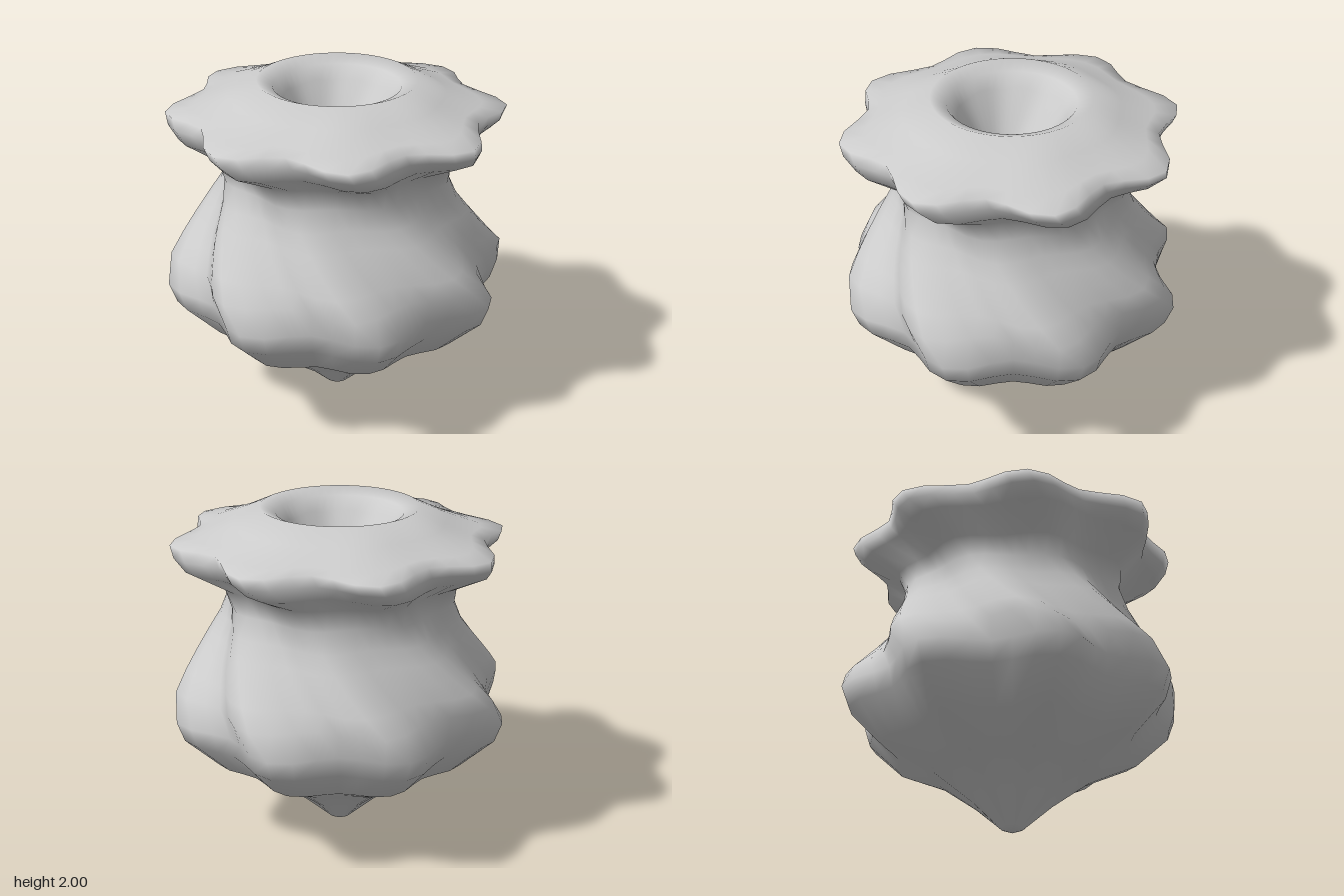
import * as THREE from 'three';

const LOBES = 8;
const COLUMNS = 48;

// [height, mean radius, lobe depth] from the bottom tip, over the lip and down into the funnel
const RINGS = [
  [0.03, 0.07, 0.00], [0.18, 0.23, 0.01], [0.35, 0.45, 0.02], [0.49, 0.725, 0.045],
  [0.68, 0.91, 0.065], [0.80, 0.945, 0.075], [0.94, 0.92, 0.07], [1.04, 0.86, 0.058],
  [1.14, 0.80, 0.047], [1.24, 0.74, 0.04], [1.34, 0.685, 0.032], [1.46, 0.655, 0.025],
  [1.58, 0.68, 0.03], [1.69, 0.86, 0.055], [1.76, 0.90, 0.07], [1.825, 0.91, 0.075],
  [1.85, 0.80, 0.04], [1.92, 0.62, 0.01], [1.998, 0.46, 0.00], [1.96, 0.37, 0.00],
  [1.88, 0.31, 0.00], [1.64, 0.16, 0.00],
];

// The lobes run straight below the belly and spiral above it
const twistAt = (y) =>
  THREE.MathUtils.degToRad(28 + 55 * THREE.MathUtils.clamp(y - 0.8, 0, 1));

function createTwistedSkin() {
  const positions = [0, 0, 0];
  const indices = [];

  for (const [y, radius, depth] of RINGS) {
    for (let i = 0; i < COLUMNS; i++) {
      const u = (i / COLUMNS) * Math.PI * 2;
      const wave = Math.cos(LOBES * u);
      const r = radius + depth * wave;
      const a = u + twistAt(y);
      // the points of the lip droop a little
      const droop = y > 1.65 && y < 1.9 ? 0.008 * wave : 0;
      positions.push(r * Math.sin(a), y - droop, -r * Math.cos(a));
    }
  }
  const top = positions.length / 3;
  positions.push(0, 1.4, 0);

  const at = (ring, i) => 1 + ring * COLUMNS + (i % COLUMNS);
  const last = RINGS.length - 1;
  for (let i = 0; i < COLUMNS; i++) {
    indices.push(0, at(0, i), at(0, i + 1));
    for (let k = 0; k < last; k++) {
      const a = at(k, i), b = at(k, i + 1), c = at(k + 1, i + 1), d = at(k + 1, i);
      indices.push(a, d, b, b, d, c);
    }
    indices.push(at(last, i), top, at(last, i + 1));
  }

  const geometry = new THREE.BufferGeometry();
  geometry.setAttribute('position', new THREE.Float32BufferAttribute(positions, 3));
  geometry.setIndex(indices);
  geometry.computeVertexNormals();
  return geometry;
}

export function createModel() {
  const group = new THREE.Group();
  group.name = 'twistedVase';
  const material = new THREE.MeshStandardMaterial({ color: 0xcccccc, side: THREE.DoubleSide });
  const body = new THREE.Mesh(createTwistedSkin(), material);
  body.name = 'lobedBody';
  group.add(body);
  return group;
}
